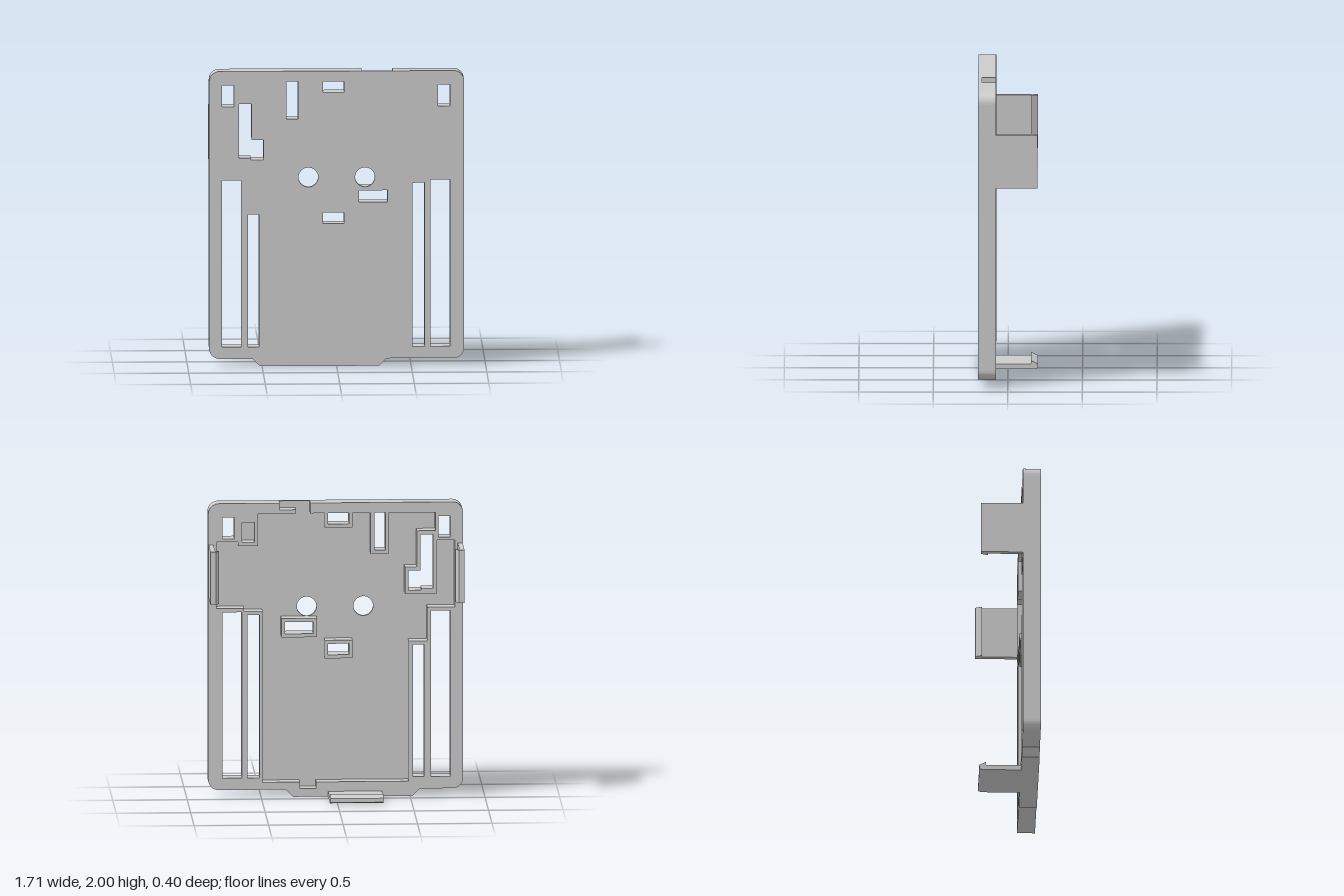
import * as THREE from 'three';

const BACK = 0.08, FLOOR = 0.175, FRONT = 0.2; // z levels of the panel

const poly = (pts, Type = THREE.Shape) => new Type(pts.map(([x, y]) => new THREE.Vector2(x, y)));
const rect = ([x0, x1, y0, y1]) => [[x0, y0], [x1, y0], [x1, y1], [x0, y1]];

// Rounded corner points, from angle a0 over a quarter turn
function corner(cx, cy, a0, r = 0.07) {
  const out = [];
  for (let i = 0; i <= 8; i++) {
    const a = a0 + (i / 8) * Math.PI / 2;
    out.push([cx + r * Math.cos(a), cy + r * Math.sin(a)]);
  }
  return out;
}

// Through openings, as [x0, x1, y0, y1]
const rimHoles = [
  [-0.77, -0.64, 0.13, 1.26], [-0.595, -0.52, 0.13, 1.03],
  [0.51, 0.59, 0.13, 1.24], [0.63, 0.76, 0.13, 1.26],
  [-0.77, -0.69, 1.76, 1.905], [0.68, 0.76, 1.76, 1.905],
];
const framedHoles = [
  [-0.335, -0.26, 1.675, 1.93], [-0.09, 0.05, 1.855, 1.93],
  [0.15, 0.34, 1.11, 1.19], [-0.09, 0.05, 0.965, 1.04],
];
const stepHole = [[-0.655, 1.412], [-0.575, 1.412], [-0.575, 1.4], [-0.49, 1.4],
  [-0.49, 1.535], [-0.57, 1.535], [-0.57, 1.78], [-0.655, 1.78]];
const stepFrame = [[-0.68, 1.375], [-0.465, 1.375], [-0.465, 1.56],
  [-0.545, 1.56], [-0.545, 1.805], [-0.68, 1.805]];

const leftAndBottom = [
  ...corner(-0.785, 1.93, Math.PI / 2), ...corner(-0.785, 0.12, Math.PI),
  [-0.565, 0.05], [-0.515, 0], [0.285, 0], [0.335, 0.05],
  ...corner(0.785, 0.12, -Math.PI / 2), ...corner(0.785, 1.93, 0),
];

// Inner edge of the raised rim, entered through the gap in the top edge
const cavity = [
  [0.375, 2], [0.375, 1.93], [0.52, 1.93], [0.52, 1.71], [0.655, 1.71], [0.655, 1.74],
  [0.8, 1.74], [0.8, 1.285], [0.615, 1.285], [0.615, 1.265], [0.49, 1.265],
  [0.49, 0.1], [0.24, 0.1], [0.24, 0.055], [0.13, 0.055], [0.13, 0.1],
  [-0.49, 0.1], [-0.49, 1.055], [-0.615, 1.055], [-0.615, 1.285], [-0.8, 1.285],
  [-0.8, 1.74], [-0.67, 1.74], [-0.67, 1.93], [0.17, 1.93], [0.17, 2],
];

export function createModel() {
  const group = new THREE.Group();
  const material = new THREE.MeshStandardMaterial({ color: 0xcccccc, flatShading: true });

  const add = (name, geometry) => {
    const mesh = new THREE.Mesh(geometry, material);
    mesh.name = name;
    group.add(mesh);
  };
  const extrude = (shape, depth) =>
    new THREE.ExtrudeGeometry(shape, { depth, bevelEnabled: false, curveSegments: 24 });
  const slab = (name, outline, holes, z0, z1) => {
    const shape = poly(outline);
    shape.holes = holes;
    add(name, extrude(shape, z1 - z0).translate(0, 0, z0));
  };
  const hole = (pts) => poly(pts, THREE.Path);

  // Thin front panel with every opening and the two round holes
  const round = [-0.19, 0.19].map((x) => new THREE.Path().absarc(x, 1.28, 0.066, 0, Math.PI * 2));
  slab('frontPanel', leftAndBottom,
    [...[...rimHoles, ...framedHoles].map((r) => hole(rect(r))), hole(stepHole), ...round],
    FLOOR, FRONT);

  // Raised rim with slot walls and a blind pocket
  slab('rim', [...leftAndBottom, ...cavity],
    [...rimHoles, [0.545, 0.63, 1.735, 1.87]].map((r) => hole(rect(r))), BACK, FLOOR);

  // Ledge in the top gap
  slab('topLedge', rect([0.265, 0.375, 1.93, 1.955]), [], BACK, FLOOR);

  // Raised frames around the inner openings
  const w = 0.024;
  for (const r of framedHoles) {
    const [x0, x1, y0, y1] = r;
    slab('openingFrame', rect([x0 - w, x1 + w, y0 - w, y1 + w]), [hole(rect(r))], BACK, FLOOR);
  }
  slab('steppedFrame', stepFrame, [hole(stepHole)], BACK, FLOOR);

  // Side clips: profile in x and -z, extruded upwards
  for (const s of [-1, 1]) {
    const profile = [[0.853, -0.09], [0.853, 0.2], [0.815, 0.2], [0.795, 0.155], [0.82, 0.155], [0.82, -0.09]];
    add(s > 0 ? 'leftClip' : 'rightClip',
      extrude(poly(profile.map(([x, z]) => [s * x, z])), 0.36).rotateX(-Math.PI / 2).translate(0, 1.36, 0));
  }

  // Bottom clip: profile in -z and y, extruded sideways
  const profile = [[-0.09, 0], [0.18, 0], [0.2, 0.008], [0.2, 0.035], [0.155, 0.057], [0.155, 0.035], [-0.09, 0.035]];
  add('bottomClip', extrude(poly(profile), 0.36).rotateY(Math.PI / 2).translate(-0.31, 0, 0));

  return group;
}
